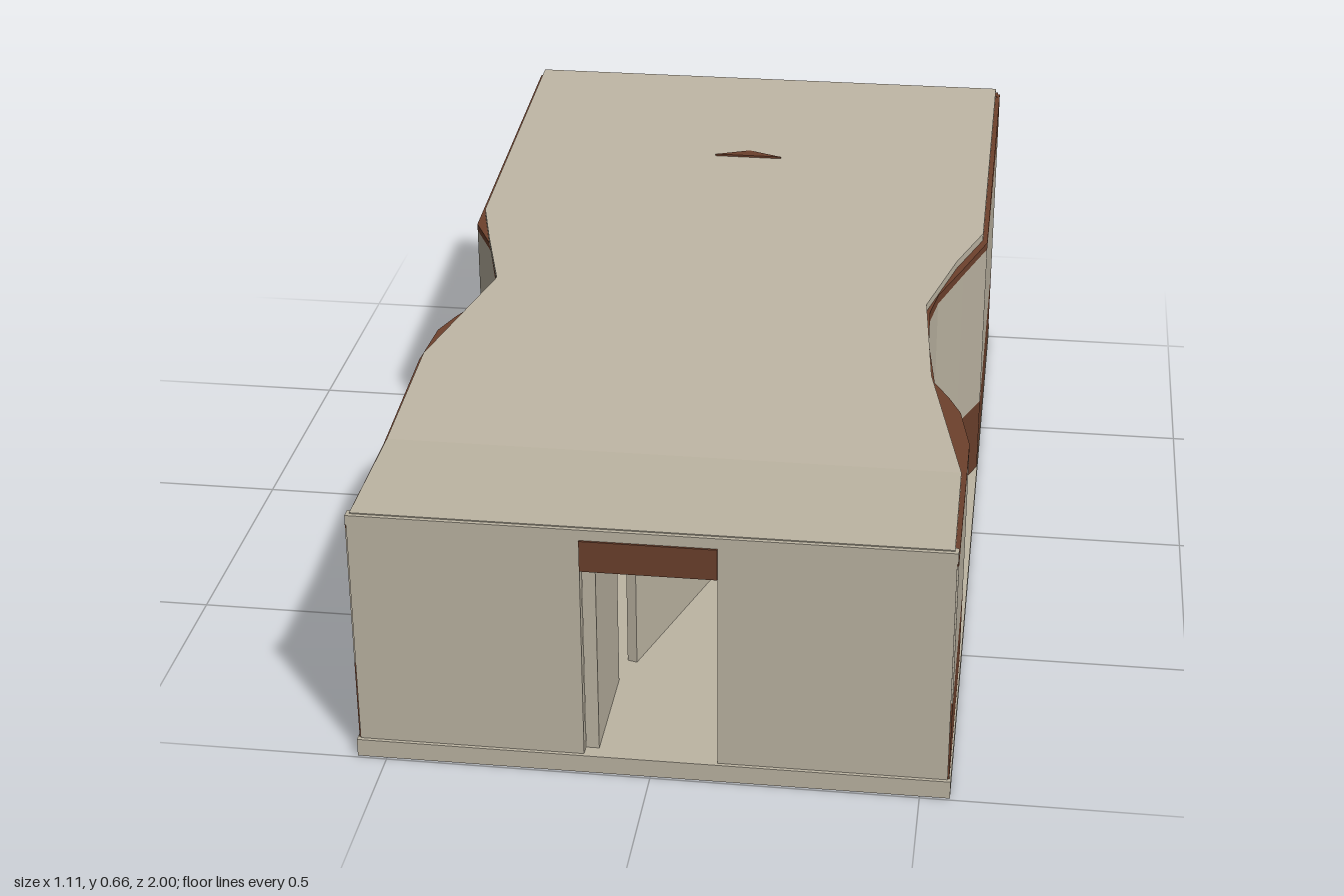
import * as THREE from 'three';

const lerp = THREE.MathUtils.lerp;

// Piecewise-linear lookup in a list of [position, value], ascending
function along(list, p) {
  if (p <= list[0][0]) return list[0][1];
  for (let i = 1; i < list.length; i++) {
    const [a, va] = list[i - 1], [b, vb] = list[i];
    if (p <= b) return lerp(va, vb, (p - a) / (b - a));
  }
  return list[list.length - 1][1];
}

// Roof top: flat over the entrance, rising to the back
const roofTop = (z) => along([[-0.98, 0.661], [0.69, 0.515], [0.99, 0.515]], z);
const ROOF = 0.018;

// Side wall plans as [z, x] from back to front
const planPlus = [[-0.985, 0.555], [-0.24, 0.555], [-0.12, 0.51], [0.0, 0.463], [0.07, 0.45], [0.2, 0.455],
  [0.35, 0.475], [0.4, 0.505], [0.455, 0.531], [0.565, 0.553], [0.985, 0.553]];
const planMinus = [[-0.985, -0.555], [-0.21, -0.555], [-0.12, -0.508], [0.05, -0.46], [0.13, -0.482],
  [0.19, -0.517], [0.25, -0.543], [0.37, -0.555], [0.985, -0.553]];
// Roof edges, cut straighter than the walls
const edgePlus = [[-0.98, 0.545], [-0.25, 0.545], [-0.12, 0.495], [0.07, 0.442], [0.35, 0.468], [0.69, 0.543], [0.98, 0.545]];
const edgeMinus = [[-0.98, -0.545], [-0.25, -0.545], [-0.12, -0.51], [0.05, -0.46], [0.37, -0.545], [0.98, -0.545]];
// Top of the pale wall band
const paleTop = [[-0.24, 0.565], [-0.12, 0.555], [0.04, 0.535], [0.2, 0.513], [0.455, 0.493], [0.985, 0.486]];

// Box with its z slices moved to stations; place(u, v, z) gives [x, y]
function sweep(stations, place) {
  const n = stations.length - 1;
  const geo = new THREE.BoxGeometry(1, 1, 1, 1, 1, n).toNonIndexed();
  const p = geo.attributes.position;
  for (let i = 0; i < p.count; i++) {
    const z = stations[Math.round((p.getZ(i) + 0.5) * n)];
    const [x, y] = place(p.getX(i) + 0.5, p.getY(i) + 0.5, z);
    p.setXYZ(i, x, y, z);
  }
  geo.computeVertexNormals();
  return geo;
}

export function createModel() {
  const group = new THREE.Group();
  const material = (name, color) => {
    const m = new THREE.MeshStandardMaterial({ color });
    m.name = name;
    return m;
  };
  const plaster = material('plaster', 0xbdb5a3);
  const wood = material('brown wood', 0x6c402c);
  const glass = material('blue glass', 0x4b6c70);
  const frame = material('tan frame', 0x8a6a42);

  const add = (name, geo, mat) => {
    const mesh = new THREE.Mesh(geo, mat);
    mesh.name = name;
    group.add(mesh);
    return mesh;
  };
  // Box given by its limits
  const box = (name, mat, x0, x1, y0, y1, z0, z1) => {
    const mesh = add(name, new THREE.BoxGeometry(x1 - x0, y1 - y0, z1 - z0), mat);
    mesh.position.set((x0 + x1) / 2, (y0 + y1) / 2, (z0 + z1) / 2);
    return mesh;
  };

  box('baseSlab', plaster, -0.556, 0.556, 0, 0.036, -1, 0.995);

  // Waisted side walls in three bands
  for (const [side, plan] of [['left', planPlus], ['right', planMinus]]) {
    const zs = [...new Set([...plan, ...paleTop].map((q) => q[0]).concat(0.69))].sort((a, b) => a - b);
    const band = (name, mat, thick, low, high) => add(side + name, sweep(zs, (u, v, z) => {
      const x = along(plan, z);
      const inner = x - Math.sign(x) * thick;
      return [lerp(Math.min(x, inner), Math.max(x, inner), u), lerp(low(z), high(z), v)];
    }), mat);
    const pale = (z) => along(paleTop, z);
    band('LowerBand', wood, 0.02, () => 0.036, () => 0.2);
    band('MiddleBand', plaster, 0.02, () => 0.2, pale);
    band('UpperBand', wood, 0.04, pale, (z) => roofTop(z) - ROOF + 0.002);
  }

  // Roof sheet following the waist and the slope
  const roofZ = [...new Set([...edgePlus, ...edgeMinus].map((q) => q[0]))].sort((a, b) => a - b);
  add('roof', sweep(roofZ, (u, v, z) => [
    lerp(along(edgeMinus, z), along(edgePlus, z), u),
    roofTop(z) - ROOF * (1 - v),
  ]), plaster);

  // Small triangular tip showing through the roof
  const tip = new THREE.Shape([new THREE.Vector2(-0.075, 0), new THREE.Vector2(0.075, 0), new THREE.Vector2(0, 0.032)]);
  const tipGeo = new THREE.ExtrudeGeometry(tip, { depth: 0.005, bevelEnabled: false });
  tipGeo.rotateX(-Math.PI / 2);
  add('roofTip', tipGeo, wood).position.set(0, 0.6235, -0.56);

  // Front wall with a doorway
  for (const s of [-1, 1]) {
    box('frontWall', plaster, s < 0 ? -0.55 : 0.125, s < 0 ? -0.125 : 0.55, 0.036, 0.492, 0.968, 0.988);
  }
  box('frontEave', plaster, -0.552, 0.552, 0.492, 0.513, 0.968, 0.988);
  box('doorLintel', wood, -0.125, 0.125, 0.43, 0.492, 0.966, 0.992);

  // Open door leaf and an angled partition behind it
  box('doorLeaf', plaster, -0.125, -0.1, 0.036, 0.43, 0.73, 0.966);
  const partition = new THREE.Group();
  partition.name = 'partition';
  partition.position.set(-0.02, 0, 0.45);
  partition.rotation.y = -0.3;
  group.add(partition);
  const panel = box('partitionPanel', plaster, -0.01, 0.01, 0.036, 0.41, -0.22, 0.22);
  const cap = box('partitionCap', wood, -0.012, 0.012, 0.41, 0.422, -0.22, 0.22);
  partition.add(panel, cap);

  // Glazed back wall
  box('backSill', wood, -0.55, 0.55, 0.036, 0.11, -1, -0.975);
  box('backHeader', wood, -0.55, 0.55, 0.585, 0.645, -1, -0.97);
  box('backGlass', glass, -0.545, 0.545, 0.11, 0.585, -0.985, -0.978);
  for (const x of [-0.541, 0, 0.541]) {
    box('backMullion', frame, x - 0.009, x + 0.009, 0.11, 0.587, -0.993, -0.973);
  }
  return group;
}
